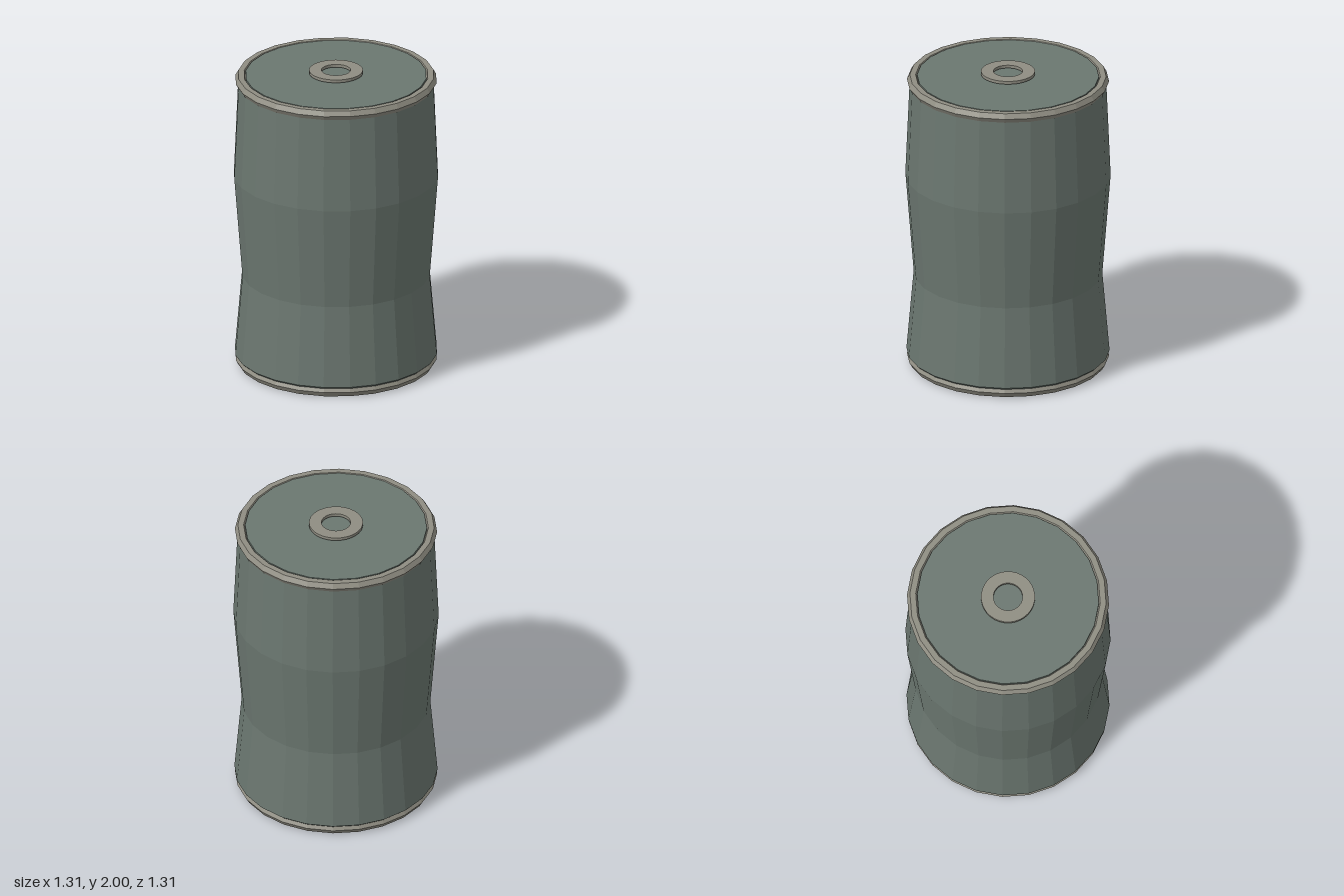
import * as THREE from 'three';

const SIDES = 24;
const green = new THREE.MeshStandardMaterial({ color: 0x6b7770, flatShading: true });
const metal = new THREE.MeshStandardMaterial({ color: 0x8f8d82, flatShading: true });

// Turned part from [radius, height] pairs listed from bottom to top
function turned(name, profile, material, sides = SIDES) {
  const points = profile.map(([r, y]) => new THREE.Vector2(r, y));
  const mesh = new THREE.Mesh(new THREE.LatheGeometry(points, sides), material);
  mesh.name = name;
  return mesh;
}

// Six-sided bead around the can
function rim(name, y) {
  const geometry = new THREE.TorusGeometry(0.608, 0.037, 6, SIDES).rotateX(Math.PI / 2);
  const mesh = new THREE.Mesh(geometry, metal);
  mesh.name = name;
  mesh.position.y = y;
  return mesh;
}

export function createModel() {
  const can = new THREE.Group();
  can.name = 'can';

  // Waisted body, slightly bulged above the middle
  can.add(turned('body', [
    [0, 0.05], [0.62, 0.05], [0.648, 0.075], [0.602, 0.61], [0.655, 1.29], [0.628, 1.91], [0, 1.91],
  ], green));

  // Rims around both ends
  can.add(rim('bottomRim', 0.038), rim('topRim', 1.937));

  // End discs sitting inside the rims
  can.add(turned('base', [[0, 0], [0.58, 0], [0.58, 0.06], [0, 0.06]], green));
  can.add(turned('lid', [[0, 1.9], [0.58, 1.9], [0.58, 1.968], [0, 1.968]], green));

  // Flat ring on the lid
  can.add(turned('lidRing', [
    [0.093, 1.98], [0.172, 1.98], [0.172, 2], [0.093, 2], [0.093, 1.98],
  ], metal, 32));

  return can;
}
